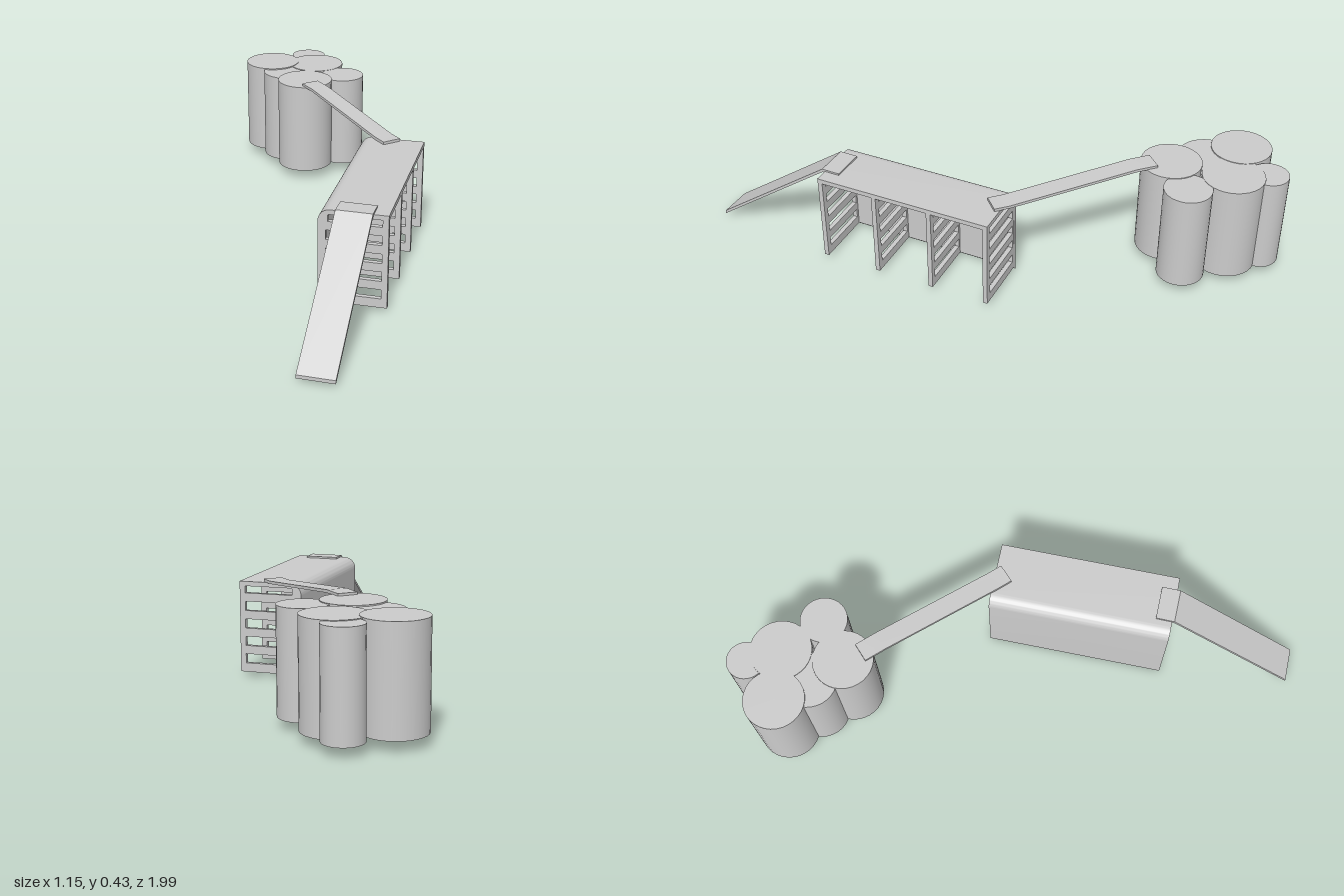
import * as THREE from 'three';
import { toCreasedNormals } from 'three/addons/utils/BufferGeometryUtils.js';

const material = new THREE.MeshStandardMaterial({ color: 0xcccccc });

function addMesh(parent, name, geometry) {
  const mesh = new THREE.Mesh(geometry, material);
  mesh.name = name;
  parent.add(mesh);
  return mesh;
}

// Extrude a shape, centred on its own thickness
function slab(shape, depth) {
  const g = new THREE.ExtrudeGeometry(shape, { depth, bevelEnabled: false, curveSegments: 8 });
  g.translate(0, 0, -depth / 2);
  return toCreasedNormals(g, 0.6);
}

// Bent plank: side profile given by its top line, running along local +x
function plank(topLine, thickness, width) {
  const top = topLine.map(([x, y]) => new THREE.Vector2(x, y));
  const bottom = topLine.map(([x, y]) => new THREE.Vector2(x, y - thickness)).reverse();
  return slab(new THREE.Shape([...bottom, ...top]), width);
}

function createShelter() {
  const shelter = new THREE.Group();
  shelter.name = 'shelter';
  const length = 0.7, half = 0.125, top = 0.373, t = 0.018, r = 0.045;

  // Back wall and roof in one sheet with a rounded shoulder
  const s = new THREE.Shape();
  s.moveTo(-half, 0);
  s.lineTo(-half + t, 0.017);
  s.lineTo(-half + t, top - r);
  s.absarc(-half + r, top - r, r - t, Math.PI, Math.PI / 2, true);
  s.lineTo(half, top - t);
  s.lineTo(half, top);
  s.lineTo(-half + r, top);
  s.absarc(-half + r, top - r, r, Math.PI / 2, Math.PI, false);
  s.lineTo(-half, 0);
  addMesh(shelter, 'wallAndRoof', slab(s, length).rotateY(-Math.PI / 2));

  // Slotted partitions, two of them closing the ends
  const p = new THREE.Shape();
  p.moveTo(-half + 0.006, 0.017);
  p.lineTo(half, 0.017);
  p.lineTo(half, 0.362);
  p.lineTo(-half + 0.036, 0.362);
  p.lineTo(-half + 0.006, 0.332);
  for (let i = 0; i < 5; i++) {
    const y0 = 0.052 + i * 0.069, y1 = y0 + 0.036;
    const x0 = -half + (i === 4 ? 0.036 : 0.028), x1 = half - 0.022;
    const slot = new THREE.Path();
    slot.moveTo(x0, y0);
    slot.lineTo(x0, Math.min(y1, 0.357));
    slot.lineTo(x1, Math.min(y1, 0.357));
    slot.lineTo(x1, y0);
    slot.closePath();
    p.holes.push(slot);
  }
  const partition = slab(p, 0.018).rotateY(-Math.PI / 2);
  for (let i = 0; i < 4; i++) {
    const m = addMesh(shelter, 'partition' + (i + 1), partition);
    m.position.x = (i / 3 - 0.5) * (length - 0.02);
  }

  shelter.position.set(0.0685, 0, 0.333);
  shelter.rotation.y = 0.801;
  return shelter;
}

export function createModel() {
  const model = new THREE.Group();
  model.name = 'playStructure';
  model.add(createShelter());

  // Ramp from the ground to a landing on the roof
  const ramp = addMesh(model, 'ramp',
    plank([[0, 0.026], [0.495, 0.38], [0.567, 0.38]], 0.013, 0.132));
  ramp.position.set(-0.528, 0, 0.945);
  ramp.rotation.y = Math.PI / 4;

  // Bridge from the roof to the towers
  const bridge = addMesh(model, 'bridge',
    plank([[0, 0.384], [0.06, 0.384], [0.555, 0.43], [0.64, 0.43]], 0.011, 0.075));
  bridge.position.set(0.286, 0, 0.115);
  bridge.rotation.y = Math.PI / 2;

  // Cluster of round towers: x, z, radius, bottom, top
  const towers = new THREE.Group();
  towers.name = 'towers';
  const layout = [
    [0.30, -0.885, 0.115, 0.041, 0.421],
    [0.492, -0.9, 0.073, 0.038, 0.416],
    [0.457, -0.77, 0.117, 0.036, 0.419],
    [0.30, -0.74, 0.107, 0.038, 0.416],
    [0.30, -0.593, 0.115, 0.041, 0.421],
    [0.477, -0.575, 0.09, 0.036, 0.418],
  ];
  layout.forEach(([x, z, r, y0, y1], i) => {
    const m = addMesh(towers, 'tower' + (i + 1), new THREE.CylinderGeometry(r, r, y1 - y0, 32));
    m.position.set(x, (y0 + y1) / 2, z);
  });
  model.add(towers);
  return model;
}
